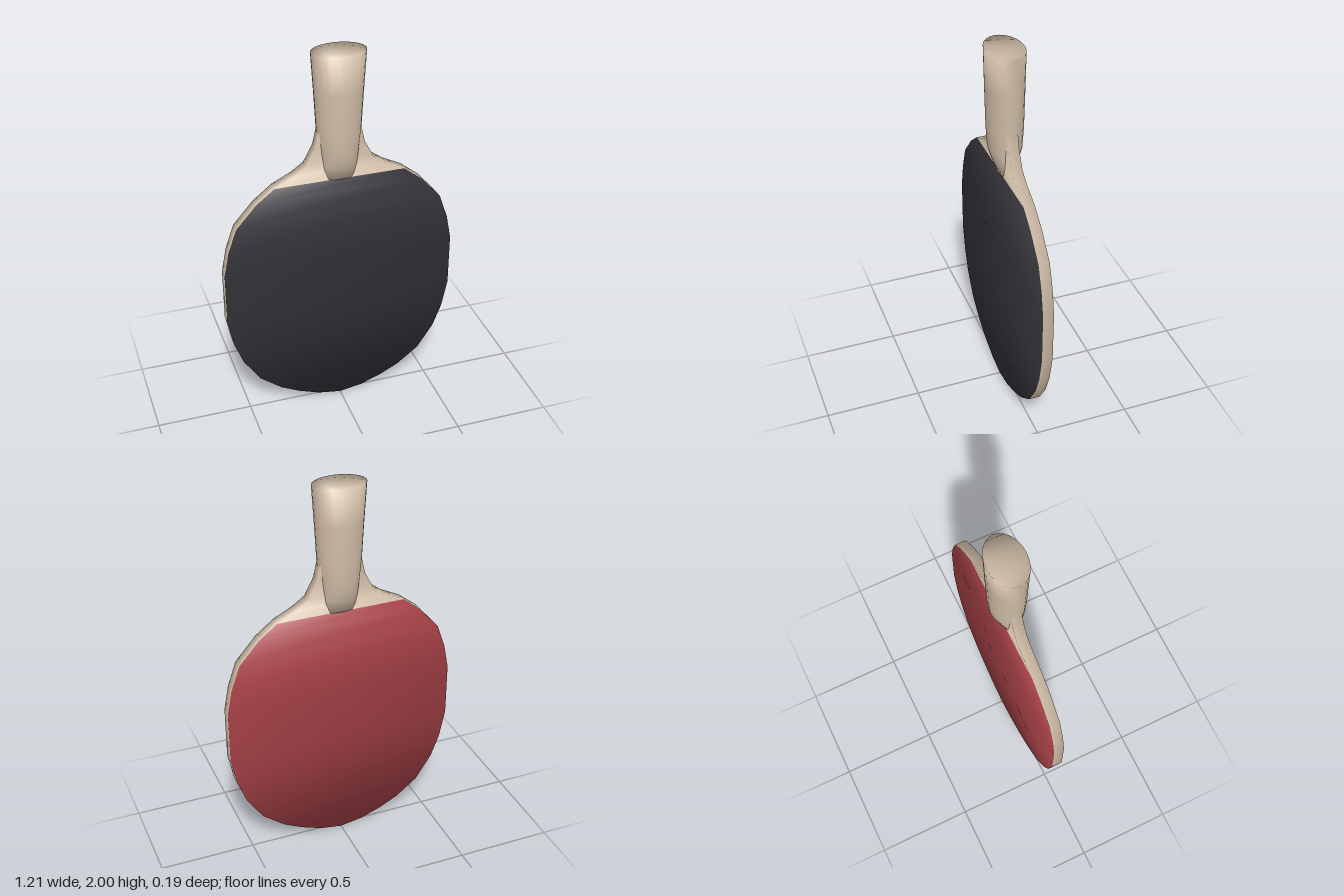
import * as THREE from 'three';

const wood = new THREE.MeshStandardMaterial({ name: 'pale wood', color: 0xd0bda7 });
const black = new THREE.MeshStandardMaterial({ name: 'black rubber', color: 0x343339 });
const red = new THREE.MeshStandardMaterial({ name: 'red rubber', color: 0xa84248 });

// Half outline of the blade, [half width, height], from the tip up to the neck
const OUTLINE = [
  [0, 0], [0.12, 0.02], [0.23, 0.06], [0.33, 0.11], [0.445, 0.2], [0.53, 0.33],
  [0.575, 0.45], [0.605, 0.6], [0.605, 0.88], [0.58, 1.01], [0.535, 1.14],
  [0.43, 1.26], [0.335, 1.335], [0.235, 1.385], [0.172, 1.43], [0.125, 1.52], [0.105, 1.61],
];
const RUBBER_ROWS = 12; // the rubber ends straight at this outline row
const HALF_THICK = 0.028;

// Handle sections: [height, half width, half depth]
const HANDLE = [
  [1.335, 0.086, 0.037], [1.41, 0.094, 0.063], [1.48, 0.1, 0.084],
  [1.6, 0.112, 0.09], [1.8, 0.123, 0.093], [2, 0.136, 0.095],
];

function makeMesh(name, geometry, material) {
  const mesh = new THREE.Mesh(geometry, material);
  mesh.name = name;
  return mesh;
}

// Blade: four corners per row, with normals softened around the rim
function bladeParts() {
  const pos = [], nor = [];
  const last = OUTLINE.length - 1;
  OUTLINE.forEach(([x, y], i) => {
    const [x0, y0] = OUTLINE[Math.max(i - 1, 0)];
    const [x1, y1] = OUTLINE[Math.min(i + 1, last)];
    const out = i === 0 ? new THREE.Vector2(0, -1) : new THREE.Vector2(y1 - y0, x0 - x1).normalize();
    for (const sz of [1, -1]) {
      for (const sx of [-1, 1]) {
        pos.push(sx * x, y, sz * HALF_THICK);
        nor.push(sx * out.x * Math.SQRT1_2, out.y * Math.SQRT1_2, sz * Math.SQRT1_2);
      }
    }
  });

  // Quads between successive rows, joining corner columns a and b
  const strip = (from, to, ...columns) => {
    const index = [];
    for (let i = from; i < to; i++) {
      for (const [a, b] of columns) {
        const p = 4 * i, q = p + 4;
        index.push(p + a, p + b, q + b, p + a, q + b, q + a);
      }
    }
    const g = new THREE.BufferGeometry();
    g.setAttribute('position', new THREE.Float32BufferAttribute(pos, 3));
    g.setAttribute('normal', new THREE.Float32BufferAttribute(nor, 3));
    g.setIndex(index);
    return g.toNonIndexed();
  };
  const front = [0, 1], back = [3, 2], left = [1, 3], right = [2, 0];
  return [
    makeMesh('frontRubber', strip(0, RUBBER_ROWS, front), black),
    makeMesh('backRubber', strip(0, RUBBER_ROWS, back), red),
    makeMesh('bladeEdge', strip(0, last, left, right), wood),
    makeMesh('bladeNeck', strip(RUBBER_ROWS, last, front, back), wood),
  ];
}

// Handle: oval sections lofted upwards, with both ends closed
function handleGeometry() {
  const n = 24, pos = [], index = [];
  for (const [y, rx, rz] of HANDLE) {
    for (let j = 0; j < n; j++) {
      const a = (j / n) * Math.PI * 2;
      pos.push(rx * Math.cos(a), y, rz * Math.sin(a));
    }
  }
  for (let i = 0; i < HANDLE.length - 1; i++) {
    for (let j = 0; j < n; j++) {
      const a = i * n + j, b = i * n + (j + 1) % n;
      index.push(a, a + n, b + n, a, b + n, b);
    }
  }
  // End faces are strips across the oval that share the rim's soft normals
  const top = (HANDLE.length - 1) * n;
  for (let j = 0; j < n / 2; j++) {
    const a = j, b = j + 1, c = n - j - 1, d = (n - j) % n;
    index.push(a, b, c, a, c, d);
    index.push(top + a, top + c, top + b, top + a, top + d, top + c);
  }
  const g = new THREE.BufferGeometry();
  g.setAttribute('position', new THREE.Float32BufferAttribute(pos, 3));
  g.setIndex(index);
  g.computeVertexNormals();
  return g;
}

export function createModel() {
  const paddle = new THREE.Group();
  paddle.name = 'tableTennisPaddle';
  paddle.add(...bladeParts(), makeMesh('handle', handleGeometry(), wood));
  return paddle;
}
